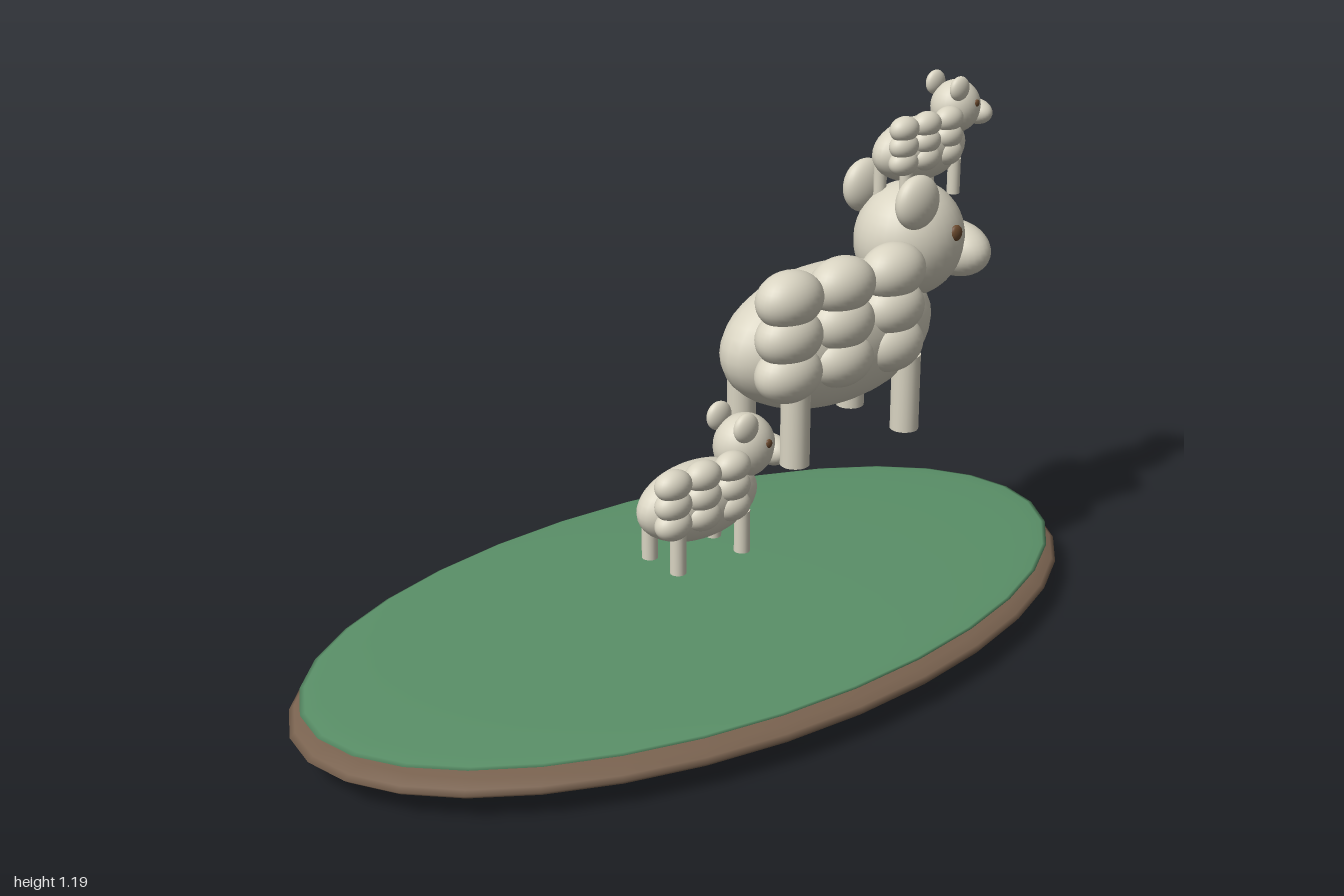
import * as THREE from 'three';

const material = (name, color) => {
  const m = new THREE.MeshStandardMaterial({ color });
  m.name = name;
  return m;
};

export function createModel() {
  const wool = material('cream wool', 0xd9d4c2);
  const grass = material('grass green', 0x5a9068);
  const soil = material('soil brown', 0x7a6350);
  const eyeBrown = material('eye brown', 0x6b4a2e);

  const ball = new THREE.SphereGeometry(1, 32, 20);
  const legShape = new THREE.CylinderGeometry(0.033, 0.033, 0.18, 20);

  const ellipsoid = (parent, name, mat, centre, radii) => {
    const mesh = new THREE.Mesh(ball, mat);
    mesh.name = name;
    mesh.position.set(...centre);
    mesh.scale.set(...radii);
    parent.add(mesh);
  };

  // One sheep facing +x, with its feet on y = 0
  const sheep = (name, x, y, scale) => {
    const g = new THREE.Group();
    g.name = name;
    ellipsoid(g, 'body', wool, [0, 0.24, 0], [0.29, 0.162, 0.143]);
    ellipsoid(g, 'head', wool, [0.238, 0.416, 0.005], [0.132, 0.134, 0.12]);
    ellipsoid(g, 'muzzle', wool, [0.355, 0.376, 0.035], [0.066, 0.064, 0.096]);
    ellipsoid(g, 'eye', eyeBrown, [0.275, 0.447, 0.116], [0.017, 0.019, 0.01]);
    for (const z of [0.089, -0.082])
      ellipsoid(g, 'ear', wool, [0.178, 0.531, z], [0.06, 0.062, 0.033]);

    // Legs
    for (const lx of [-0.173, 0.157]) {
      for (const z of [0.093, -0.091]) {
        const leg = new THREE.Mesh(legShape, wool);
        leg.name = 'leg';
        leg.position.set(lx, 0.09, z);
        g.add(leg);
      }
    }

    // Three by three wool puffs on one flank
    for (let col = -1; col <= 1; col++)
      for (let row = -1; row <= 1; row++)
        ellipsoid(g, 'woolPuff', wool,
          [-0.058 + col * 0.15, 0.311 + row * 0.085, 0.108], [0.083, 0.064, 0.061]);

    g.position.set(x, y, 0);
    g.scale.setScalar(scale);
    return g;
  };

  const model = new THREE.Group();
  model.name = 'sheepStack';

  // Oval island
  ellipsoid(model, 'soilBase', soil, [0, 0.06, 0], [1, 0.06, 0.545]);
  ellipsoid(model, 'grassTop', grass, [0, 0.105, 0], [0.975, 0.019, 0.523]);

  // The stack of sheep
  model.add(sheep('lowerLamb', -0.003, 0.22, 0.545));
  model.add(sheep('largeSheep', 0.37, 0.412, 1));
  model.add(sheep('upperLamb', 0.634, 0.924, 0.45));
  return model;
}
